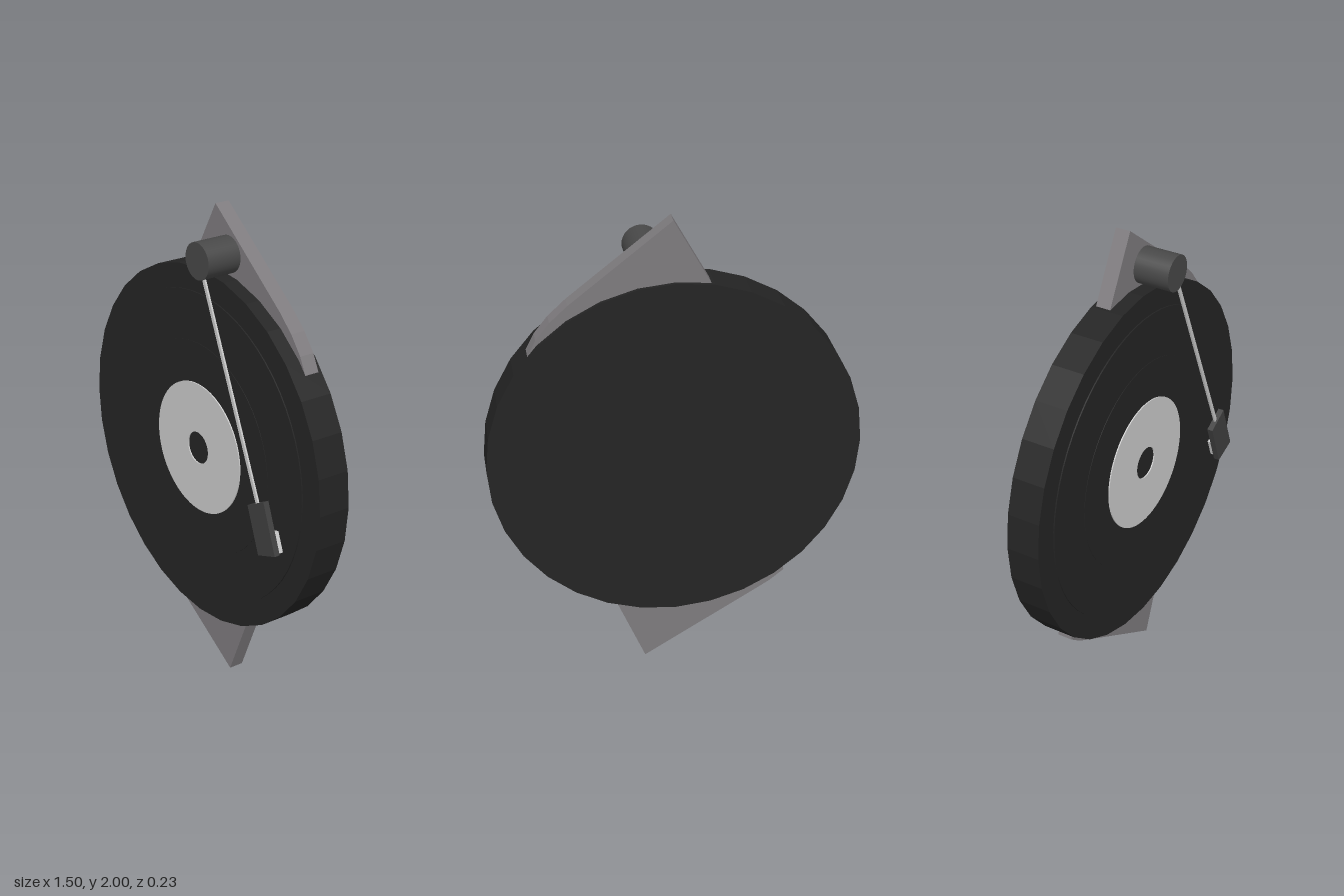
import * as THREE from 'three';

const material = (color, flatShading = false) =>
  new THREE.MeshStandardMaterial({ color, flatShading });
const bodyMat = material(0x242424, true);
const vinylMat = material(0x242424);
const plateMat = material(0x7e7b7e, true);
const darkMat = material(0x484848);
const headMat = material(0x404040, true);
const greyMat = material(0xcccccc);

function add(parent, name, geometry, mat, x = 0, y = 0, z = 0) {
  const mesh = new THREE.Mesh(geometry, mat);
  mesh.name = name;
  mesh.position.set(x, y, z);
  parent.add(mesh);
  return mesh;
}

// Disc facing +z, between two depths
function disc(parent, name, radius, back, front, sides, mat, x = 0, y = 1) {
  const g = new THREE.CylinderGeometry(radius, radius, front - back, sides);
  g.rotateX(Math.PI / 2);
  return add(parent, name, g, mat, x, y, (front + back) / 2);
}

// Flat outline extruded between two depths
function slab(shape, back, front, curveSegments = 8) {
  return new THREE.ExtrudeGeometry(shape, { depth: front - back, bevelEnabled: false, curveSegments })
    .translate(0, 0, back);
}

const outline = points => new THREE.Shape(points.map(([x, y]) => new THREE.Vector2(x, y)));

export function createModel() {
  const model = new THREE.Group();
  model.name = 'recordPlayer';

  // The deck leans very slightly
  const deck = new THREE.Group();
  deck.name = 'deck';
  deck.position.y = 1;
  deck.rotation.set(-0.0025, -0.01, 0);
  model.add(deck);
  const parts = new THREE.Group();
  parts.name = 'deckParts';
  parts.position.y = -1;
  deck.add(parts);

  // Pointed base plate, passing through the platter
  const plate = outline([
    [0.01, 2], [-0.15, 1.71], [-0.46, 0.38], [-0.4, 0.33], [-0.32, 0.28],
    [0.13, 0.003], [0.25, 0.3], [0.575, 1.47], [0.535, 1.55], [0.48, 1.62], [0.41, 1.685],
  ]);
  add(parts, 'basePlate', slab(plate, -0.094, -0.032), plateMat);

  // Platter and stepped record
  disc(parts, 'platter', 0.75, -0.108, 0.03, 32, bodyMat);
  disc(parts, 'record', 0.65, 0.02, 0.035, 64, vinylMat);
  disc(parts, 'recordInnerStep', 0.445, 0.03, 0.037, 64, vinylMat);

  // Centre label with a spindle hole
  const label = new THREE.Shape().absarc(0, 0, 0.275, 0, Math.PI * 2);
  label.holes.push(new THREE.Path().absarc(0, 0, 0.067, 0, Math.PI * 2, true));
  add(parts, 'label', slab(label, 0.034, 0.042, 32), greyMat, 0, 1);

  // Tonearm pivot
  disc(model, 'armPivot', 0.073, -0.03, 0.118, 32, darkMat, 0.1, 1.825);

  // Tonearm rod
  const from = new THREE.Vector3(0.1, 1.825, 0.106);
  const to = new THREE.Vector3(0.475, 0.945, 0.106);
  const along = to.clone().sub(from);
  const rod = add(model, 'armRod', new THREE.BoxGeometry(0.015, along.length(), 0.008), greyMat);
  rod.position.copy(from).add(to).multiplyScalar(0.5);
  rod.rotation.z = Math.atan2(along.x, -along.y);

  // Head, with the cartridge and stylus on its inner side
  const head = outline([[0.421, 0.94], [0.49, 0.753], [0.591, 0.79], [0.517, 0.991]]);
  add(model, 'headShell', slab(head, 0.094, 0.118), headMat);
  const cartridge = add(model, 'cartridge', new THREE.BoxGeometry(0.08, 0.085, 0.026), greyMat, 0.527, 0.815, 0.082);
  cartridge.rotation.z = 0.36;
  const stylus = add(model, 'stylus', new THREE.ConeGeometry(0.01, 0.03, 8), greyMat, 0.535, 0.79, 0.061);
  stylus.rotation.x = -Math.PI / 2;

  return model;
}
